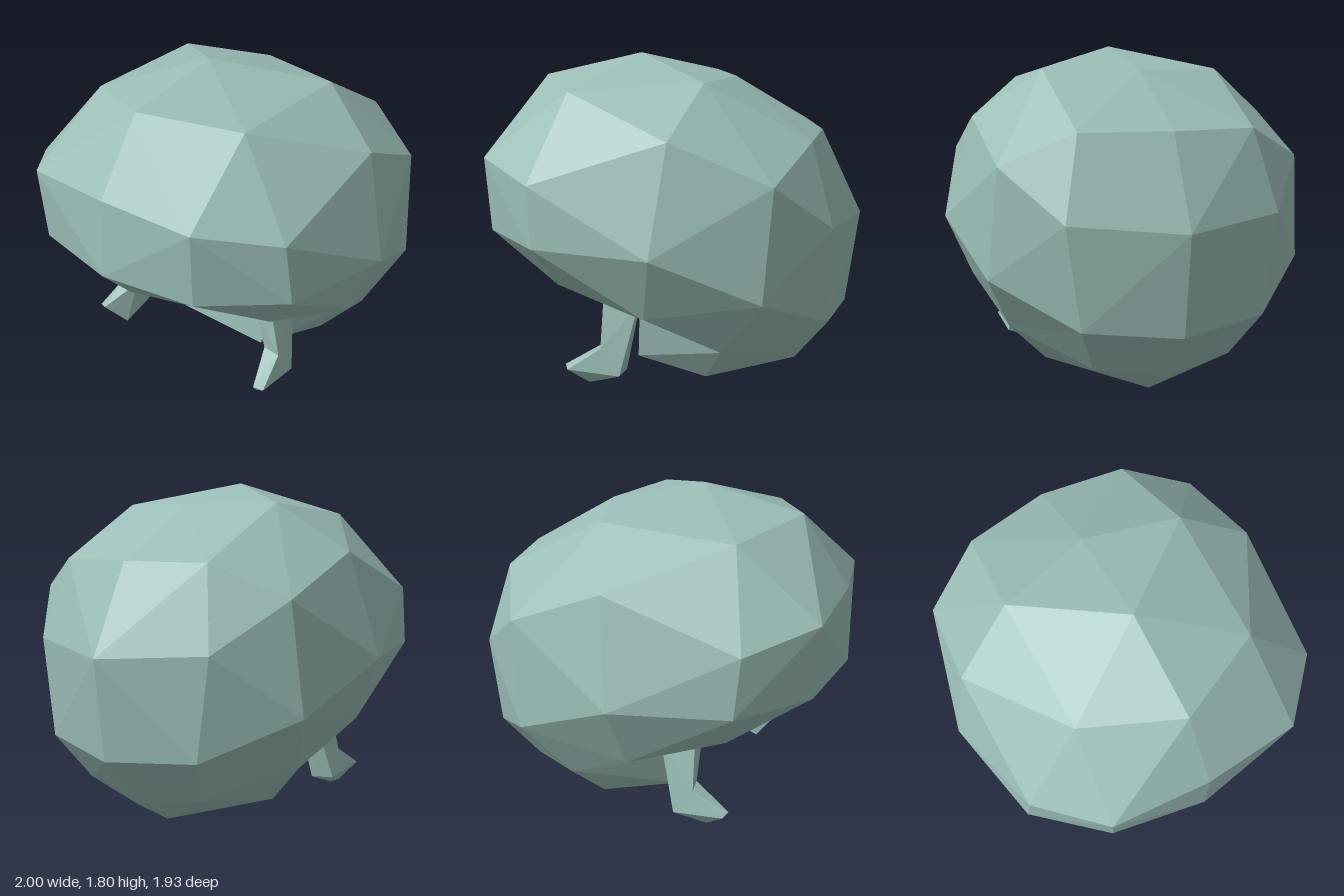
import * as THREE from 'three';
import { ConvexGeometry } from 'three/addons/geometries/ConvexGeometry.js';

// Faceted solid around a handful of corner points
function facet(name, corners, material) {
  const mesh = new THREE.Mesh(
    new ConvexGeometry(corners.map(([x, y, z]) => new THREE.Vector3(x, y, z))), material);
  mesh.name = name;
  return mesh;
}

// Repeat every corner off the centre plane on the other side
const mirror = (pts) => pts.flatMap(([x, y, z]) => (z ? [[x, y, z], [x, y, -z]] : [[x, y, z]]));

export function createModel() {
  const group = new THREE.Group();
  const skin = new THREE.MeshStandardMaterial({ color: 0x9abdb6, flatShading: true });
  skin.name = 'paleSage';

  // Main rounded body: centre line, then inner and outer rings
  group.add(facet('body', mirror([
    [-0.83, 0.74, 0], [-1, 0.92, 0], [-0.97, 1.32, 0], [-0.72, 1.68, 0], [-0.2, 1.8, 0],
    [0.31, 1.68, 0], [0.78, 1.4, 0], [1, 0.95, 0], [0.94, 0.44, 0],
    [-0.91, 0.92, 0.5], [-0.93, 1.3, 0.51], [-0.5, 1.63, 0.47], [0.18, 1.68, 0.48],
    [0.71, 1.4, 0.45], [0.82, 0.99, 0.54], [0.82, 0.48, 0.47],
    [-0.61, 0.92, 0.84], [-0.63, 1.22, 0.81], [0.04, 1.44, 0.82], [0.53, 1.235, 0.79],
    [-0.03, 0.915, 0.965], [0.49, 0.68, 0.84], [0.29, 0.38, 0.7],
    [-0.075, 0.58, 0.82], [-0.53, 0.69, 0.66], [-0.16, 0.45, 0.42],
  ]), skin));

  // Lower rear bulge
  group.add(facet('rump', mirror([
    [0.94, 0.44, 0], [0.71, 0.17, 0], [0.47, 0.02, 0], [0.12, 0, 0], [0.02, 0.04, 0.1],
    [0.82, 0.48, 0.47], [0.66, 0.235, 0.365], [0.29, 0.38, 0.7], [0.2, 0.155, 0.49],
    [-0.16, 0.43, 0.42], [-0.18, 0.19, 0.34],
  ]), skin));

  // Pair of small legs with angled feet
  const ankle = [[-0.33, 0.32, 0.48], [-0.34, 0.32, 0.58], [-0.22, 0.17, 0.48], [-0.24, 0.18, 0.6]];
  const hip = [[-0.34, 0.58, 0.42], [-0.33, 0.58, 0.52], [-0.15, 0.54, 0.42], [-0.15, 0.54, 0.53]];
  const toe = [[-0.53, 0.22, 0.56], [-0.51, 0.21, 0.61], [-0.42, 0.09, 0.49], [-0.41, 0.12, 0.55]];
  for (const side of [1, -1]) {
    const place = (pts) => pts.map(([x, y, z]) => [x, y, z * side]);
    const leg = new THREE.Group();
    leg.name = side > 0 ? 'frontSideLeg' : 'backSideLeg';
    leg.add(facet('shin', place([...hip, ...ankle]), skin));
    leg.add(facet('foot', place([...ankle, ...toe]), skin));
    group.add(leg);
  }
  return group;
}
